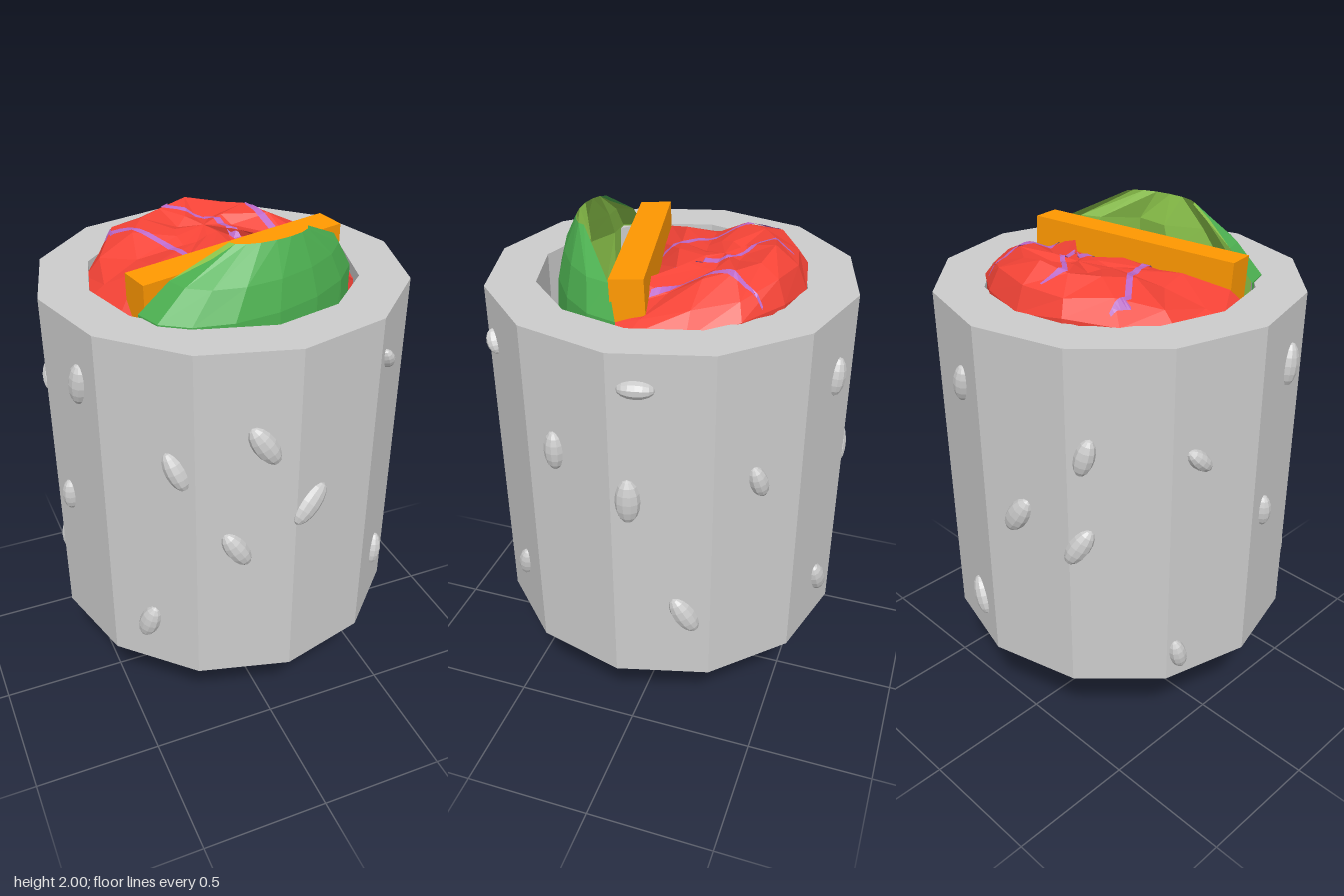
import * as THREE from 'three';

const mat = (color) => new THREE.MeshStandardMaterial({ color, flatShading: true, side: THREE.DoubleSide });

function named(geometry, color, name) {
  const mesh = new THREE.Mesh(geometry, mat(color));
  mesh.name = name;
  return mesh;
}

// Surface through rows of points (each row an array of [x, y, z])
function skin(rows, closed = false) {
  const pos = [];
  for (let i = 0; i < rows.length - 1; i++) {
    const n = rows[i].length;
    for (let j = 0; j < (closed ? n : n - 1); j++) {
      const k = (j + 1) % n;
      const a = rows[i][j], b = rows[i][k], c = rows[i + 1][j], d = rows[i + 1][k];
      pos.push(...a, ...c, ...b, ...b, ...c, ...d);
    }
  }
  const g = new THREE.BufferGeometry();
  g.setAttribute('position', new THREE.Float32BufferAttribute(pos, 3));
  g.computeVertexNormals();
  return g;
}

// Twelve-sided hollow wrap
function makeWrap() {
  const profile = [[0.67, 0.44], [0.67, 1.785], [0.49, 1.785], [0.49, 0.44], [0.67, 0.44]];
  const wrap = named(new THREE.LatheGeometry(profile.map((p) => new THREE.Vector2(...p)), 12), 0xcccccc, 'wrap');
  wrap.position.set(-0.01, 0, -0.007);
  return wrap;
}

// Seeds pressed into the wrap: angle from the front, height, lean, size
function makeSeeds() {
  const group = new THREE.Group();
  group.name = 'seeds';
  const seeds = [
    [-10, 1.44, 33, 1], [-36, 1.34, 28, 0.9], [5, 1.17, -45, 1.05], [-18, 1.02, 32, 0.95],
    [-47, 0.63, -20, 0.95], [46, 0.69, -14, 0.8], [36, 1.605, 30, 0.55], [-70, 1.56, -8, 0.95],
    [-82, 1.03, 0, 0.75], [70, 1.35, 0, 0.9], [95, 1.23, 0, 1.05], [98, 1.66, 88, 0.75],
    [135, 1.27, 20, 0.8], [112, 0.73, 30, 1], [169, 1.53, -10, 0.85], [170, 0.62, 25, 0.95],
    [215, 1.4, -15, 0.85], [192, 1.11, -32, 1], [213, 1.045, -32, 0.95], [249, 1.36, 45, 0.75],
    [244, 0.545, 15, 0.8],
  ];
  const geo = new THREE.SphereGeometry(1, 10, 8);
  for (const [deg, y, lean, size] of seeds) {
    const t = THREE.MathUtils.degToRad(deg);
    const face = THREE.MathUtils.degToRad(Math.floor(deg / 30) * 30 + 15);
    const r = 0.647 / Math.cos(t - face);
    const seed = named(geo, 0xcccccc, 'seed');
    seed.position.set(-0.01 + r * Math.sin(t), y, -0.007 + r * Math.cos(t));
    seed.rotation.set(0, face, THREE.MathUtils.degToRad(lean));
    seed.scale.set(0.042 * size, 0.083 * size, 0.032);
    group.add(seed);
  }
  return group;
}

// Slab of cheese across the middle
function makeCheese() {
  const cheese = named(new THREE.BoxGeometry(0.83, 1.61, 0.115), 0xff9800, 'cheeseSlab');
  cheese.position.set(0.025, 1.1, 0.062);
  cheese.rotation.set(0.045, 0.22, 0.026);
  return cheese;
}

// Half-moon red filling: domed on top, hollow below
function makeFilling() {
  const outline = [];
  for (let i = 0; i <= 10; i++) {
    const a = THREE.MathUtils.degToRad(-68 - i * 22.4);
    outline.push([-0.012 + 0.487 * Math.sin(a), -0.007 + 0.487 * Math.cos(a)]);
  }
  for (let i = 1; i < 5; i++) outline.push([0.47 - 0.18 * i, -0.02 + 0.04 * i]);
  // height, size, drop towards the front edge, unevenness
  const rows = [
    [0.56, 0, 0, 0], [0.5, 0.4, 0, 0.04], [0.36, 0.5, 0, 0.03], [0.29, 0.68, 0.03, 0.03],
    [0.275, 0.9, 0.01, 0.02], [0.44, 1, 0, 0], [1.1, 1, 0, 0], [1.79, 1, 0.05, 0.02],
    [1.865, 0.88, 0.08, 0.02], [1.915, 0.6, 0.07, 0.02], [1.885, 0.25, 0.02, 0.02], [1.88, 0, 0, 0],
  ].map(([y, s, drop, rough], i) => outline.map(([x, z], j) => {
    const front = THREE.MathUtils.clamp((z + 0.4) / 0.4, 0, 1);
    return [x * s, y - drop * front + rough * Math.sin(j * 2.3 + i * 1.7) * 0.7, -0.2 + (z + 0.2) * s];
  }));
  return named(skin(rows, true), 0xf44336, 'redFilling');
}

// Zigzag veins laid on top of the filling
function makeVeins(filling) {
  const group = new THREE.Group();
  group.name = 'veins';
  const ray = new THREE.Raycaster();
  const down = new THREE.Vector3(0, -1, 0);
  const drop = (x, z) => {
    ray.set(new THREE.Vector3(x, 3, z), down);
    const hit = ray.intersectObject(filling)[0];
    return [x, (hit ? hit.point.y : 1.75) + 0.006, z];
  };
  const paths = [
    [[-0.32, -0.36], [-0.34, -0.3], [-0.18, -0.12], [-0.1, 0.06]],
    [[-0.07, -0.43], [-0.1, -0.35], [0.06, -0.22], [0.1, -0.08], [0.09, 0]],
    [[0.25, -0.4], [0.21, -0.27], [0.25, -0.12], [0.3, -0.03]],
  ];
  for (const path of paths) {
    const left = [], right = [];
    for (let i = 0; i < path.length - 1; i++) {
      for (let k = i ? 1 : 0; k <= 6; k++) {
        const t = k / 6;
        const x = path[i][0] * (1 - t) + path[i + 1][0] * t;
        const z = path[i][1] * (1 - t) + path[i + 1][1] * t;
        const w = i === 0 ? 0.004 + 0.01 * t : 0.014;
        left.push(drop(x - w, z));
        right.push(drop(x + w, z));
      }
    }
    group.add(named(skin([left, right]), 0xba68c8, 'vein'));
  }
  return group;
}

// Cupped leaf at the front, lighter inside
function makeLeaf() {
  const group = new THREE.Group();
  group.name = 'leaf';
  // height, left x, right x, depth of the side edges, depth of the middle
  const rows = [
    [0, 0.03, 0.09, 0.19, 0.2], [0.07, -0.12, 0.24, 0.17, 0.27], [0.25, -0.3, 0.45, 0.11, 0.36],
    [0.44, -0.4, 0.48, 0.11, 0.4], [1.1, -0.43, 0.48, 0.13, 0.46], [1.79, -0.41, 0.46, 0.14, 0.41],
    [1.89, -0.3, 0.39, 0.17, 0.38], [2, -0.1, 0.2, 0.26, 0.32],
  ];
  const n = 8;
  const surface = (inside) => skin(rows.map(([y, xl, xr, edge, mid], i) => {
    const pts = [];
    for (let j = 0; j <= n; j++) {
      const a = Math.PI * j / n;
      const x = (xl + xr) / 2 - (xr - xl) / 2 * Math.cos(a);
      const rim = i === 0 || i === rows.length - 1;
      const k = inside && !rim ? (j % 2 ? 0.8 : 0.55) : 1;
      pts.push([x, y, edge - 0.247 * (x - 0.03) * Math.min(1, (xr - xl) / 0.6) + (mid - edge) * k * Math.sin(a)]);
    }
    return inside ? pts : pts.reverse();
  }));
  group.add(named(surface(false), 0x4caf50, 'leafOutside'), named(surface(true), 0x8bc34a, 'leafInside'));
  return group;
}

export function createModel() {
  const model = new THREE.Group();
  model.name = 'filledRoll';
  const filling = makeFilling();
  model.add(makeWrap(), makeSeeds(), makeCheese(), filling, makeVeins(filling), makeLeaf());
  return model;
}
